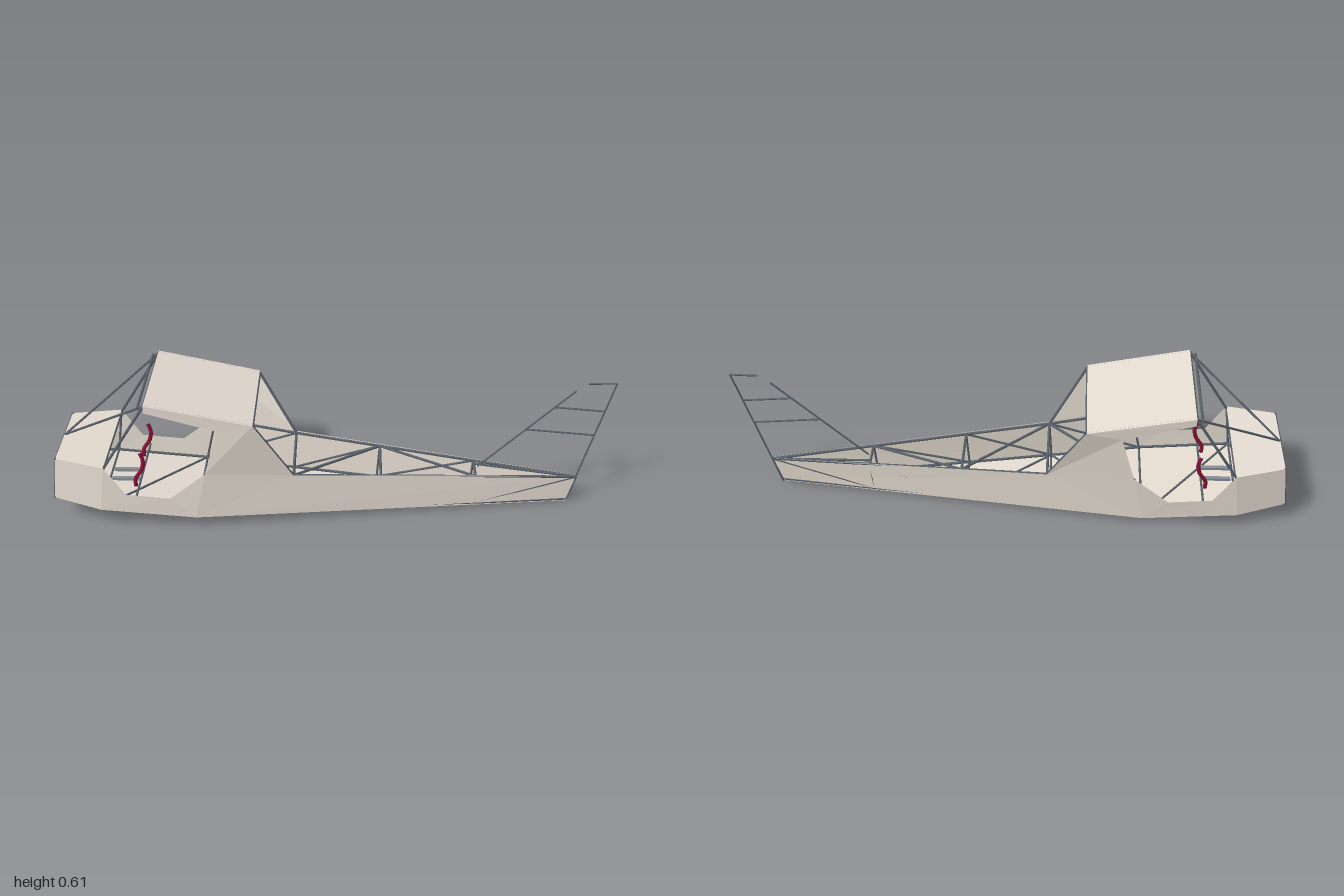
import * as THREE from 'three';

const CENTRE = 0.038; // sideways offset of the fuselage centre line

const cream = new THREE.MeshStandardMaterial({ color: 0xe4dbd0, side: THREE.DoubleSide });
cream.name = 'cream fabric';
const steel = new THREE.MeshStandardMaterial({ color: 0x59616a });
steel.name = 'dark steel tube';
const crimson = new THREE.MeshStandardMaterial({ color: 0x8c1238 });
crimson.name = 'crimson grip';
const grey = new THREE.MeshStandardMaterial({ color: 0x868d95 });
grey.name = 'grey metal';

// Fuselage points in its own frame: x nose to tail, y up, half width.
// Names ending in B lie on the belly.
const P = {
  noseB: [-1.115, 0.10, 0.2], noseT: [-1.095, 0.297, 0.2],
  wallB: [-0.905, 0.073, 0.252], wallT: [-0.88, 0.288, 0.254],
  sillF: [-0.79, 0.155, 0.254], sillR: [-0.6, 0.139, 0.254],
  doorB: [-0.49, 0.04, 0.25], doorT: [-0.446, 0.262, 0.25],
  winR: [-0.387, 0.476, 0.251], winF: [-0.69, 0.562, 0.256],
  roofF: [-0.69, 0.595, 0.256], roofR: [-0.237, 0.505, 0.251],
  deckR: [-0.07, 0.228, 0.19],
  tailT: [1.186, 0.131, 0.003], tailB: [1.152, 0, 0.003],
};

// The same points moved just inside the skin, for the tubes
const F = {};
for (const [name, [x, y, w]] of Object.entries(P))
  F[name] = [x, y + (name.endsWith('B') ? 0.008 : -0.006), Math.max(w - 0.01, 0)];

// Point on one side (+1 or -1)
const at = (p, side) => new THREE.Vector3(p[0], p[1], CENTRE + side * p[2]);
const centre = (x, y) => new THREE.Vector3(x, y, CENTRE - 0.006);
const mix = (a, b, x) => {
  const t = (x - a[0]) / (b[0] - a[0]);
  return a.map((v, i) => v + (b[i] - v) * t);
};

function skin(name, polygons) {
  const pts = [];
  for (const poly of polygons)
    for (let i = 1; i < poly.length - 1; i++) pts.push(poly[0], poly[i], poly[i + 1]);
  const geo = new THREE.BufferGeometry().setFromPoints(pts);
  geo.computeVertexNormals();
  const mesh = new THREE.Mesh(geo, cream);
  mesh.name = name;
  return mesh;
}

function tube(name, a, b, r = 0.006) {
  const dir = b.clone().sub(a);
  const mesh = new THREE.Mesh(new THREE.CylinderGeometry(r, r, dir.length(), 8), steel);
  mesh.position.copy(a).add(b).multiplyScalar(0.5);
  mesh.quaternion.setFromUnitVectors(new THREE.Vector3(0, 1, 0), dir.normalize());
  mesh.name = name;
  return mesh;
}

function buildSkin() {
  const g = new THREE.Group();
  g.name = 'fabricSkin';
  const sidePanels = [
    ['noseB', 'wallB', 'wallT', 'noseT'], ['wallB', 'sillF', 'wallT'],
    ['wallB', 'doorB', 'sillR', 'sillF'], ['doorB', 'doorT', 'sillR'],
    ['doorB', 'deckR', 'doorT'], ['doorB', 'tailB', 'tailT', 'deckR'],
    ['doorT', 'deckR', 'roofR', 'winR'], ['winR', 'roofR', 'roofF', 'winF'],
  ];
  for (const s of [1, -1]) {
    const polys = sidePanels.map((names) => names.map((n) => at(P[n], s)));
    if (s < 0) polys.forEach((p) => p.reverse());
    g.add(skin(s > 0 ? 'sidePanelA' : 'sidePanelB', polys));
  }
  // Panels spanning from one side to the other
  const span = (a, b) => [at(P[a], 1), at(P[b], 1), at(P[b], -1), at(P[a], -1)];
  g.add(skin('roof', [span('roofF', 'roofR')]));
  g.add(skin('noseDeck', [span('noseT', 'wallT')]));
  g.add(skin('noseFront', [span('noseB', 'noseT')]));
  g.add(skin('belly', [span('wallB', 'noseB'), span('doorB', 'wallB'), span('tailB', 'doorB')]));
  return g;
}

function buildFrame() {
  const g = new THREE.Group();
  g.name = 'tubeFrame';
  const add = (name, a, b, r) => g.add(tube(name, a, b, r));

  // Rear stations, found along the top and bottom longerons
  const rear = [-0.07, 0.31, 0.73].map((x) => ({
    top: mix(F.deckR, F.tailT, x), bottom: mix(F.doorB, F.tailB, x - 0.01),
  }));
  const stations = [
    { top: F.noseT, bottom: F.noseB }, { top: F.wallT, bottom: F.wallB },
    { top: F.doorT, bottom: F.doorB }, ...rear, { top: F.tailT, bottom: F.tailB },
  ];

  const edges = [
    ['noseT', 'wallT'], ['noseB', 'wallB'], ['wallB', 'doorB'], ['doorB', 'tailB'],
    ['deckR', 'tailT'], ['doorT', 'deckR'], ['roofR', 'deckR'],
    ['roofF', 'roofR'], ['wallT', 'roofF'],
  ];
  for (const s of [1, -1]) {
    edges.forEach(([a, b]) => add('longeron', at(F[a], s), at(F[b], s)));
    stations.forEach((st, i) => {
      add('upright', at(st.top, s), at(st.bottom, s), 0.005);
      // Side diagonals behind the door opening
      if (i > 2) add('sideDiagonal', at(stations[i - 1].bottom, s), at(st.top, s), 0.005);
    });
    // Windscreen braces from the nose to the roof corners
    add('windscreenBrace', centre(-1.09, 0.3), at(F.roofF, s), 0.005);
  }

  stations.forEach((st, i) => {
    add('crossTube', at(st.bottom, 1), at(st.bottom, -1), 0.005);
    if (i !== 2) add('crossTube', at(st.top, 1), at(st.top, -1));
    // Zigzag floor and rear deck diagonals
    const next = stations[i + 1];
    const s = i % 2 ? 1 : -1;
    if (next) add('floorDiagonal', at(st.bottom, s), at(next.bottom, -s), 0.005);
    if (i === 3 || i === 4) add('topDiagonal', at(st.top, s), at(next.top, -s), 0.006);
  });
  add('topDiagonal', at(rear[2].top, -0.6), at(F.tailT, 1), 0.005);

  // Roof spars, nose cross and cabin brace
  for (const p of [[-0.715, 0.578, 0.25], F.roofF, F.roofR])
    add('roofSpar', at(p, 1), at(p, -1));
  for (const s of [1, -1]) add('noseCross', at(P.noseB, s), at(P.noseT, -s), 0.005);
  add('cabinBrace', at(F.deckR, 1), centre(-0.255, 0.235));
  return g;
}

function buildFin() {
  const g = new THREE.Group();
  g.name = 'finFrame';
  const bars = [
    ['finPost', 1.152, 0, 1.31, 0.595], ['finLeadingEdge', 0.743, 0.168, 1.14, 0.556],
    ['finTip', 1.19, 0.592, 1.31, 0.595],
    ['finRib', 1.055, 0.475, 1.273, 0.458], ['finRib', 0.94, 0.362, 1.242, 0.338],
  ];
  bars.forEach(([n, x1, y1, x2, y2]) => g.add(tube(n, centre(x1, y1), centre(x2, y2), 0.004)));
  return g;
}

function buildCockpit() {
  const g = new THREE.Group();
  g.name = 'cockpit';
  // Pair of curved control sticks
  for (const z of [0.165, -0.088]) {
    const path = new THREE.CatmullRomCurve3([
      [-0.768, 0.12], [-0.768, 0.155], [-0.738, 0.205], [-0.73, 0.25], [-0.742, 0.292],
    ].map(([x, y]) => new THREE.Vector3(x, y, z)));
    const stick = new THREE.Mesh(new THREE.TubeGeometry(path, 16, 0.009, 8), crimson);
    stick.name = 'controlStick';
    g.add(stick);
  }
  // Bar carrying the sticks
  g.add(tube('stickBar', new THREE.Vector3(-0.755, 0.115, 0.27),
    new THREE.Vector3(-0.755, 0.115, -0.2), 0.005));
  // Floor rails and small rear bracket
  for (const [x, y, z, len] of [[-0.825, 0.1, 0, 0.13], [-0.825, 0.1, 0.075, 0.13],
    [-0.2, 0.1, 0.055, 0.11]]) {
    const rail = new THREE.Mesh(new THREE.BoxGeometry(len, 0.012, 0.018), grey);
    rail.position.set(x, y, z);
    rail.name = 'floorRail';
    g.add(rail);
  }
  return g;
}

export function createModel() {
  const model = new THREE.Group();
  model.name = 'aircraftFuselage';
  model.add(buildSkin(), buildFrame(), buildFin(), buildCockpit());
  // Parked diagonally with a slight lean
  model.rotation.set(-0.058, -0.71, 0, 'YXZ');
  const root = new THREE.Group();
  root.add(model);
  return root;
}
